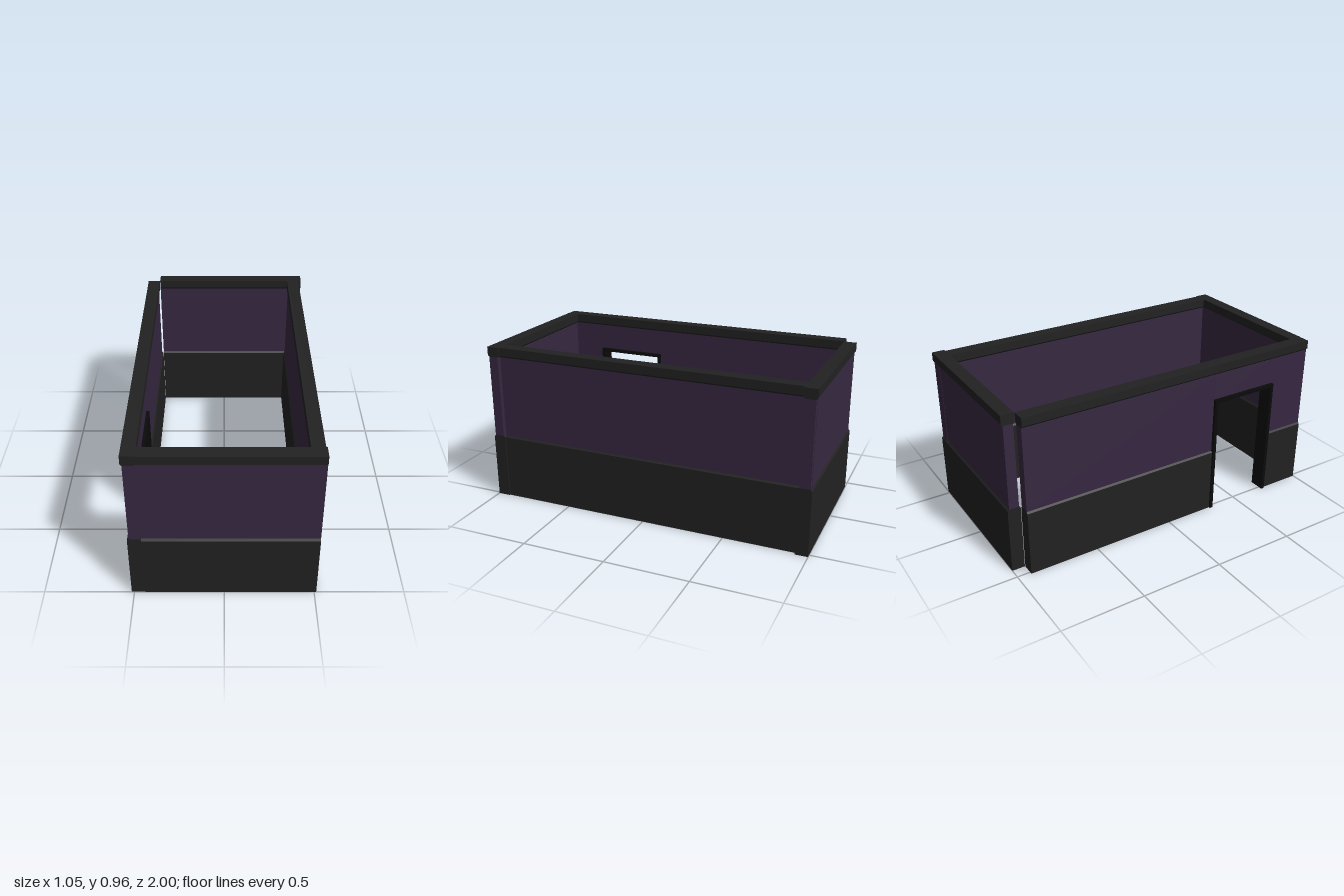
import * as THREE from 'three';

const dark = new THREE.MeshStandardMaterial({ color: 0x222222 });
const purple = new THREE.MeshStandardMaterial({ color: 0x372842 });
const black = new THREE.MeshStandardMaterial({ color: 0x0b0b0b });

const HALF = 0.038; // half thickness of plinth and coping
const THIN = 0.029; // half thickness of the recessed panel

// Symmetric cross-sections, listed as [half width, height] going up
const BASE = [[HALF, 0], [HALF, 0.39], [THIN, 0.4]];
const CAP = [[THIN, 0.9], [HALF, 0.91], [HALF, 0.96]];
const panelFrom = (y) => [[THIN, y], [THIN, 0.9]];

function strip(name, profile, material, length) {
  const right = profile.map(([w, y]) => new THREE.Vector2(w, y));
  const left = profile.map(([w, y]) => new THREE.Vector2(-w, y)).reverse();
  const geometry = new THREE.ExtrudeGeometry(new THREE.Shape([...right, ...left]), {
    depth: length, bevelEnabled: false,
  });
  const mesh = new THREE.Mesh(geometry, material);
  mesh.name = name;
  return mesh;
}

// Wall running from a to b along one axis, centred at c on the other
function wall(name, axis, c, a, b, doorTop = 0) {
  const group = new THREE.Group();
  group.name = name;
  if (!doorTop) group.add(strip('plinth', BASE, dark, b - a));
  group.add(strip('panel', panelFrom(doorTop || 0.4), purple, b - a));
  group.add(strip('coping', CAP, dark, b - a));
  if (axis === 'x') {
    group.rotation.y = Math.PI / 2;
    group.position.set(a, 0, c);
  } else {
    group.position.set(c, 0, a);
  }
  return group;
}

// Thin lining around the doorway, open at the floor
function doorFrame(z0, z1, top, t, x0, x1) {
  const s = new THREE.Shape([
    [z0, 0], [z0 + t, 0], [z0 + t, top - t], [z1 - t, top - t],
    [z1 - t, 0], [z1, 0], [z1, top], [z0, top],
  ].map(([z, y]) => new THREE.Vector2(-z, y)));
  const geometry = new THREE.ExtrudeGeometry(s, { depth: x1 - x0, bevelEnabled: false });
  const mesh = new THREE.Mesh(geometry, black);
  mesh.name = 'doorFrame';
  mesh.rotation.y = Math.PI / 2;
  mesh.position.x = x0;
  return mesh;
}

export function createModel() {
  const model = new THREE.Group();
  model.name = 'walledRoom';

  model.add(wall('frontWall', 'x', 0.962, -0.44, 0.512));
  model.add(wall('backWall', 'x', -0.962, -0.437, 0.523));
  model.add(wall('leftWall', 'z', 0.467, -0.993, 0.925));

  // Right wall is split around the doorway
  const x = -0.477;
  model.add(wall('rightWallRear', 'z', x, -0.922, 0.31));
  model.add(wall('rightWallOverDoor', 'z', x, 0.31, 0.725, 0.73));
  model.add(wall('rightWallFront', 'z', x, 0.725, 0.998));
  model.add(doorFrame(0.3, 0.737, 0.74, 0.02, -0.525, -0.43));

  return model;
}
